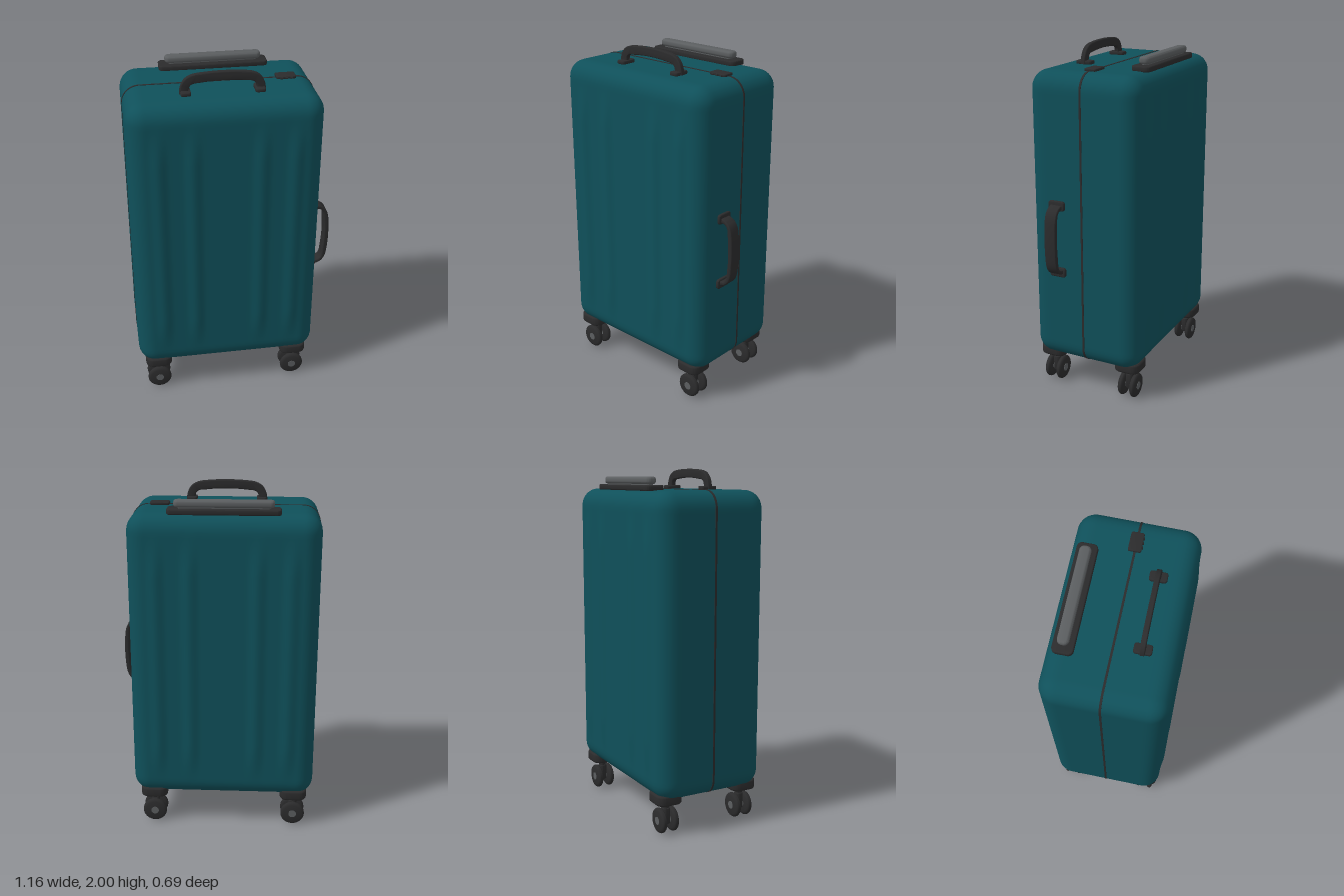
import * as THREE from 'three';
import { mergeVertices, toCreasedNormals } from 'three/addons/utils/BufferGeometryUtils.js';

const mat = (name, color) => {
  const m = new THREE.MeshStandardMaterial({ color });
  m.name = name;
  return m;
};

export function createModel() {
  const teal = mat('teal shell', 0x0f505a);
  const black = mat('black plastic', 0x2b2b2c);
  const grey = mat('grey metal', 0x5b5e60);
  const CX = -0.047, W = 1.066, H = 1.685, D = 0.666, Y0 = 0.2, R = 0.1;
  const root = new THREE.Group();
  root.name = 'suitcase';

  const add = (parent, name, geo, material, x = 0, y = 0, z = 0) => {
    const m = new THREE.Mesh(geo, material);
    m.name = name;
    m.position.set(x, y, z);
    parent.add(m);
    return m;
  };

  const roundRect = (w, h, r, T = THREE.Shape) => {
    const s = new T(), a = w / 2 - r, b = h / 2 - r, q = Math.PI / 2;
    s.absarc(a, b, r, 0, q);
    s.absarc(-a, b, r, q, 2 * q);
    s.absarc(-a, -b, r, 2 * q, 3 * q);
    s.absarc(a, -b, r, 3 * q, 4 * q);
    s.closePath();
    return s;
  };

  // Flat bevelled slab lying on y = 0, w along x and d along z
  const slab = (w, d, h, r, bevel = 0.006) => {
    const g = new THREE.ExtrudeGeometry(roundRect(w - 2 * bevel, d - 2 * bevel, r), {
      depth: h - 2 * bevel, bevelThickness: bevel, bevelSize: bevel, bevelSegments: 3, curveSegments: 6,
    });
    g.translate(0, 0, bevel).rotateX(-Math.PI / 2);
    return toCreasedNormals(g, 0.6);
  };

  // Rounded shell with soft vertical ribs on front and back
  let shell = new THREE.BoxGeometry(W, H, D, 80, 70, 32);
  shell.deleteAttribute('uv');
  shell.deleteAttribute('normal');
  shell = mergeVertices(shell);
  const pos = shell.attributes.position;
  const p = new THREE.Vector3(), core = new THREE.Vector3();
  const inner = new THREE.Vector3(W / 2 - R, H / 2 - R, D / 2 - R);
  for (let i = 0; i < pos.count; i++) {
    p.fromBufferAttribute(pos, i);
    core.copy(p).clamp(inner.clone().negate(), inner);
    p.sub(core).setLength(R).add(core);
    if (Math.abs(p.z) > D / 2 - 0.03) {
      const fade = 1 - THREE.MathUtils.smoothstep(Math.abs(p.y), 0.5, 0.76);
      for (const c of [0.187, 0.374]) {
        const t = Math.abs(Math.abs(p.x) - c) / 0.06;
        if (t < 1) p.z += Math.sign(p.z) * 0.012 * fade * Math.cos(t * Math.PI / 2) ** 2;
      }
    }
    pos.setXYZ(i, p.x, p.y, p.z);
  }
  shell.computeVertexNormals();
  add(root, 'shell', shell, teal, CX, Y0 + H / 2, 0);

  // Seam strip running all the way round
  const ring = roundRect(W + 0.004, H + 0.004, R);
  ring.holes.push(roundRect(W - 0.03, H - 0.03, R - 0.01, THREE.Path));
  const seam = new THREE.ExtrudeGeometry(ring, { depth: 0.012, bevelEnabled: false, curveSegments: 10 });
  add(root, 'seam', toCreasedNormals(seam, 0.6), black, CX, Y0 + H / 2, -0.008);

  // Arched carry handle: span along x, rise along y, width along z
  const handle = (span, rise, thick, width) => {
    const s = span / 2, t = thick;
    const shape = new THREE.Shape();
    shape.moveTo(-s, -0.01);
    shape.bezierCurveTo(-s, rise * 0.55, -s + 0.03, rise * 0.85, -s + 0.09, rise * 0.93);
    shape.quadraticCurveTo(0, rise * 1.07, s - 0.09, rise * 0.93);
    shape.bezierCurveTo(s - 0.03, rise * 0.85, s, rise * 0.55, s, -0.01);
    shape.lineTo(s - t, -0.01);
    shape.bezierCurveTo(s - t, rise * 0.5 - t * 0.4, s - t, rise * 0.93 - t, s - 0.09 - t * 0.3, rise * 0.93 - t);
    shape.quadraticCurveTo(0, rise * 1.07 - t, -s + 0.09 + t * 0.3, rise * 0.93 - t);
    shape.bezierCurveTo(-s + t, rise * 0.93 - t, -s + t, rise * 0.5 - t * 0.4, -s + t, -0.01);
    const b = 0.006;
    const g = new THREE.ExtrudeGeometry(shape, {
      depth: width - 2 * b, bevelThickness: b, bevelSize: b, bevelOffset: -b, bevelSegments: 3, curveSegments: 12,
    });
    g.translate(0, 0, -width / 2 + b);
    return toCreasedNormals(g, 0.6);
  };

  // Top handle with its two feet
  const top = Y0 + H;
  const topHandle = new THREE.Group();
  topHandle.name = 'topHandle';
  topHandle.position.set(CX, top, 0.146);
  root.add(topHandle);
  add(topHandle, 'topGrip', handle(0.466, 0.115, 0.05, 0.028), black);
  for (const s of [-1, 1]) add(topHandle, 'topHandleFoot', slab(0.056, 0.095, 0.022, 0.008), black, s * 0.2, -0.003, 0);

  // Side handle, same build turned onto the left side
  const sideHandle = new THREE.Group();
  sideHandle.name = 'sideHandle';
  sideHandle.position.set(CX + W / 2, 0.95, 0.15);
  sideHandle.rotation.z = -Math.PI / 2;
  root.add(sideHandle);
  add(sideHandle, 'sideGrip', handle(0.41, 0.093, 0.026, 0.07), black);
  for (const s of [-1, 1]) add(sideHandle, 'sideHandleFoot', slab(0.056, 0.098, 0.02, 0.008), black, s * 0.197, -0.004, 0);

  // Pull handle, folded into its tray at the back of the top
  add(root, 'pullHandleTray', slab(0.617, 0.112, 0.03, 0.022), black, CX, top - 0.004, -0.241);
  add(root, 'pullHandleNeck', slab(0.5, 0.04, 0.03, 0.008), grey, CX, top + 0.02, -0.242);
  add(root, 'pullHandleGrip', slab(0.545, 0.062, 0.04, 0.012, 0.014), grey, CX, top + 0.031, -0.243);

  // Lock with three small dials
  add(root, 'lock', slab(0.11, 0.07, 0.016, 0.006, 0.004), black, 0.325, top - 0.002, -0.004);
  for (const i of [-1, 0, 1]) {
    const dial = add(root, 'lockDial', new THREE.CylinderGeometry(0.007, 0.007, 0.014, 12), black, 0.325 + i * 0.027, top + 0.004, 0.029);
    dial.rotation.z = Math.PI / 2;
  }

  // Twin-wheel casters under the four corners
  const tyreProfile = [[0, -0.016], [0.055, -0.016], [0.066, -0.012], [0.071, -0.005], [0.071, 0.005], [0.066, 0.012], [0.055, 0.016], [0, 0.016]];
  const tyre = toCreasedNormals(
    new THREE.LatheGeometry(tyreProfile.map(([x, y]) => new THREE.Vector2(x, y)), 32).rotateX(Math.PI / 2), 0.7);
  const cap = new THREE.CylinderGeometry(0.023, 0.023, 0.036, 20).rotateX(Math.PI / 2);
  const axle = new THREE.CylinderGeometry(0.014, 0.014, 0.08, 16).rotateX(Math.PI / 2);
  const base = slab(0.158, 0.156, 0.06, 0.035, 0.012);
  const fork = slab(0.05, 0.046, 0.095, 0.015);
  const stem = new THREE.CylinderGeometry(0.021, 0.021, 0.07, 16);
  for (const sx of [-1, 1]) for (const sz of [-1, 1]) {
    const caster = new THREE.Group();
    caster.name = 'caster';
    caster.position.set(-0.05 + sx * 0.415, 0, sz * 0.244);
    root.add(caster);
    add(caster, 'casterBase', base, black, 0, 0.176, 0);
    add(caster, 'casterStem', stem, black, 0, 0.155, 0);
    add(caster, 'casterFork', fork, black, 0, 0.05, 0);
    add(caster, 'casterAxle', axle, black, 0, 0.073, 0);
    for (const s of [-1, 1]) {
      add(caster, 'wheel', tyre, black, 0, 0.073, s * 0.037);
      add(caster, 'wheelHub', cap, grey, 0, 0.073, s * 0.037);
    }
  }
  return root;
}
